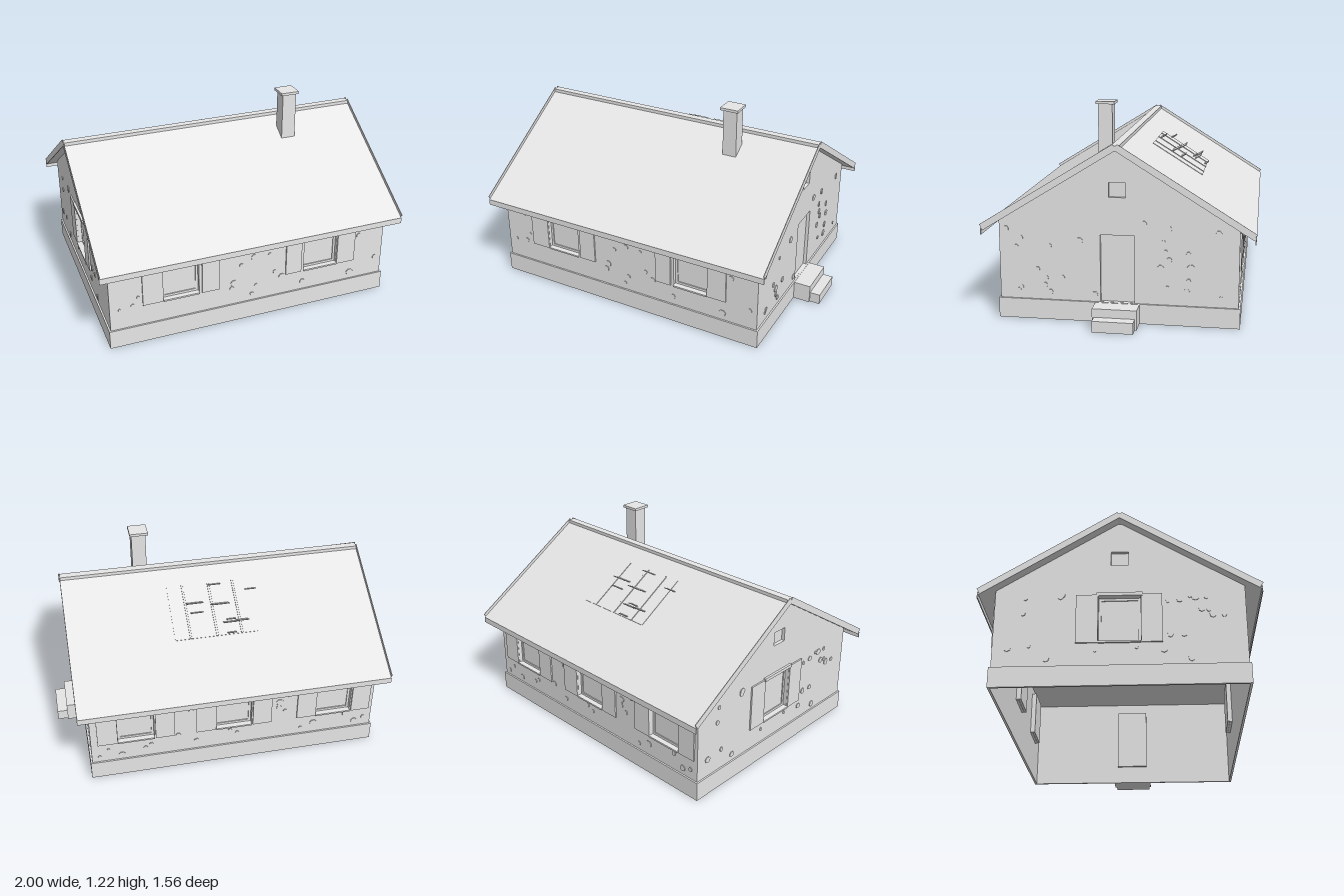
import * as THREE from 'three';

const CX = -0.057, HX = 0.88, HZ = 0.685;      // wall centre and half sizes
const SLOPE = 0.62, ANG = Math.atan(SLOPE), APEX = 1.005;
const ROOF_X = [-1, 0.89];

export function createModel() {
  const model = new THREE.Group();
  model.name = 'cottage';
  const grey = new THREE.MeshStandardMaterial({ color: 0xe6e6e6 });
  grey.name = 'pale grey';

  const add = (parent, name, geo) => {
    const m = new THREE.Mesh(geo, grey);
    m.name = name;
    parent.add(m);
    return m;
  };
  // box given by its minimum and maximum on each axis
  const box = (parent, name, x0, x1, y0, y1, z0, z1) => {
    const m = add(parent, name, new THREE.BoxGeometry(x1 - x0, y1 - y0, z1 - z0));
    m.position.set((x0 + x1) / 2, (y0 + y1) / 2, (z0 + z1) / 2);
    return m;
  };
  const rect = (C, x0, x1, y0, y1) => new C([[x0, y0], [x1, y0], [x1, y1], [x0, y1]]
    .map(p => new THREE.Vector2(...p)));

  let seed = 7;
  const rnd = () => (seed = (seed * 16807) % 2147483647) / 2147483647;

  // wall panel with openings; local x runs along the wall, local z points outward
  function wall(name, pos, rotY, outline, holes) {
    const g = new THREE.Group();
    g.name = name;
    g.position.set(...pos);
    g.rotation.y = rotY;
    const s = new THREE.Shape(outline.map(p => new THREE.Vector2(...p)));
    holes.forEach(h => s.holes.push(rect(THREE.Path, ...h)));
    add(g, name + 'Panel', new THREE.ExtrudeGeometry(s, { depth: 0.004, bevelEnabled: false }))
      .position.z = -0.004;
    model.add(g);
    return g;
  }
  // recessed opening with reveals and a flat back panel
  function recess(g, name, [x0, x1, y0, y1], d) {
    const t = 0.004;
    box(g, name + 'Panel', x0 - t, x1 + t, y0 - t, y1 + t, -d - t, -d);
    for (const [a, b] of [[x0 - t, x0], [x1, x1 + t]]) box(g, name + 'Jamb', a, b, y0, y1, -d, -0.001);
    for (const [a, b] of [[y0 - t, y0], [y1, y1 + t]]) box(g, name + 'Reveal', x0 - t, x1 + t, a, b, -d, -0.001);
  }
  // recessed window with frame, sill, lintel and a pair of shutters
  function windowSet(g, h, left, right) {
    const [x0, x1, y0, y1] = h, f = 0.014, d = 0.03;
    recess(g, 'window', h, d);
    for (const [a, b] of [[x0, x0 + f], [x1 - f, x1]]) box(g, 'windowFrame', a, b, y0, y1, -d, 0.006 - d);
    for (const [a, b] of [[y0, y0 + f], [y1 - f, y1]]) box(g, 'windowFrame', x0 + f, x1 - f, a, b, -d, 0.006 - d);
    box(g, 'windowSill', x0, x1, y0 - 0.007, y0 + 0.003, -0.02, 0.012);
    box(g, 'lintel', x0 - 0.01, x1 + 0.01, y1, y1 + 0.02, 0, 0.014);
    for (const [a, b] of [left, right]) box(g, 'shutter', a, b, 0.25, 0.54, 0, 0.009);
  }
  // thin flat plaster chips scattered clear of the openings
  function chips(g, half, n, avoid, top) {
    for (let i = 0, tries = 0; i < n && tries < 200; tries++) {
      const x = (rnd() * 2 - 1) * (half - 0.04), y = 0.15 + rnd() * (top - 0.15);
      if (avoid.some(([a, b, c, d]) => x > a - 0.02 && x < b + 0.02 && y > c - 0.02 && y < d + 0.02)) continue;
      const r = 0.01 + rnd() * 0.012;
      const m = add(g, 'plasterChip', new THREE.CylinderGeometry(r, r, 0.005, 7));
      m.rotation.x = Math.PI / 2;
      m.scale.x = 0.7 + rnd() * 0.5;
      m.position.set(x, y, 0.002);
      i++;
    }
  }

  // foundation ring around the walls, open underneath, and the ceiling
  const ring = rect(THREE.Shape, CX - HX - 0.01, CX + HX + 0.01, -HZ - 0.01, HZ + 0.01);
  ring.holes.push(rect(THREE.Path, CX - HX, CX + HX, -HZ, HZ));
  add(model, 'foundation', new THREE.ExtrudeGeometry(ring, { depth: 0.117, bevelEnabled: false }))
    .rotation.x = -Math.PI / 2;
  box(model, 'ceiling', CX - HX + 0.004, CX + HX - 0.004, 0.586, 0.592, -HZ + 0.004, HZ - 0.004);

  // long walls
  const eave = APEX - SLOPE * HZ + 0.008;
  const sideOutline = [[-HX, 0], [HX, 0], [HX, eave], [-HX, eave]];
  const frontWins = [
    [-0.615, -0.395, [-0.74, -0.617], [-0.378, -0.27]],
    [0.282, 0.503, [0.16, 0.263], [0.505, 0.625]],
  ].map(([a, b, l, r]) => [a - CX, b - CX, l.map(v => v - CX), r.map(v => v - CX)]);
  const backWins = [-0.68, -0.05, 0.55].map(x => {
    const c = CX - x;
    return [c - 0.11, c + 0.11, [c - 0.233, c - 0.112], [c + 0.118, c + 0.235]];
  });
  for (const [name, z, rot, wins] of [['frontWall', HZ, 0, frontWins], ['backWall', -HZ, Math.PI, backWins]]) {
    const holes = wins.map(w => [w[0], w[1], 0.255, 0.53]);
    const g = wall(name, [CX, 0, z], rot, sideOutline, holes);
    wins.forEach((w, i) => windowSet(g, holes[i], w[2], w[3]));
    chips(g, HX, 22, wins.map(w => [w[2][0], w[3][1], 0.25, 0.56]), 0.54);
  }

  // gable walls: door on the right, window on the left, a vent high on both
  const gable = [[-HZ, 0], [HZ, 0], [HZ, eave], [0, APEX + 0.008], [-HZ, eave]];
  const vent = [-0.048, 0.048, 0.73, 0.815];
  const door = [-0.098, 0.098, 0.118, 0.513];
  const sideWin = [-0.115, 0.115, 0.255, 0.53];
  const right = wall('rightGable', [CX + HX, 0, 0], Math.PI / 2, gable, [vent, door]);
  recess(right, 'vent', vent, 0.02);
  recess(right, 'door', door, 0.02);
  chips(right, HZ, 26, [door, vent], 0.6);
  const left = wall('leftGable', [CX - HX, 0, 0], -Math.PI / 2, gable, [vent, sideWin]);
  recess(left, 'vent', vent, 0.02);
  windowSet(left, sideWin, [-0.238, -0.117], [0.117, 0.232]);
  chips(left, HZ, 22, [[-0.24, 0.24, 0.25, 0.56], vent], 0.6);

  // door steps
  box(model, 'upperStep', 0.83, 0.937, 0, 0.115, -0.127, 0.127);
  box(model, 'lowerStep', 0.937, 1, 0, 0.065, -0.116, 0.116);

  // roof slopes: local x along the ridge, y out of the slope, z down the slope
  const cos = Math.cos(ANG), th = 0.017;
  const slopes = [0, Math.PI].map((rot, i) => {
    const turn = new THREE.Group();
    turn.rotation.y = rot;
    turn.name = i ? 'backRoof' : 'frontRoof';
    const s = new THREE.Group();
    s.position.y = APEX;
    s.rotation.x = ANG;
    turn.add(s);
    model.add(turn);
    const [x0, x1] = i ? [-ROOF_X[1], -ROOF_X[0]] : ROOF_X;
    box(s, 'roofSlab', x0 + 0.004, x1 - 0.004, 0, th, 0, 0.767 / cos);
    for (const x of [x0, x1 - 0.004]) box(s, 'bargeBoard', x, x + 0.004, -0.002, 0.036, -0.008, 0.76 / cos);
    box(turn, 'eaveBoard', x0, x1, 0.506, 0.542, 0.768, 0.774);
    return s;
  });
  box(model, 'ridgeCap', ROOF_X[0] + 0.002, ROOF_X[1] - 0.002, 1.0, 1.031, -0.023, 0.023);

  // damaged patch on the back slope: boards, battens and loose tiles
  const back = slopes[1];
  const z0 = 0.116 / cos, z1 = 0.421 / cos;
  for (const [a, b] of [[-0.25, -0.16], [-0.145, -0.008], [0.008, 0.155], [0.168, 0.257]])
    box(back, 'patchBoard', -b, -a, th, th + 0.003, z0, z1);
  for (const x of [-0.1525, 0, 0.1615]) box(back, 'patchBatten', -x - 0.005, -x + 0.005, th, th + 0.006, z0, z1);
  const tiles = [
    [-0.165, -0.375, 0.075, 0.05], [-0.09, -0.375, 0.08, 0.04], [-0.09, -0.43, 0.055, 0.028],
    [-0.1, -0.355, 0.055, 0.028], [-0.05, -0.275, 0.105, 0.058], [0.1, -0.3, 0.075, 0.03],
    [0.105, -0.255, 0.1, 0.055], [-0.035, -0.155, 0.075, 0.04], [-0.255, -0.2, 0.065, 0.032],
  ];
  for (const [x, z, w, d] of tiles) {
    const t = add(model, 'looseTile', new THREE.BoxGeometry(w, 0.005, d * 1.15));
    t.position.set(x, APEX + th / cos + SLOPE * z + d * 0.5, z);
    t.rotation.x = 0.5;
  }

  // chimney
  box(model, 'chimney', 0.342, 0.43, 0.86, 1.205, 0.095, 0.18);
  box(model, 'chimneyCap', 0.327, 0.441, 1.203, 1.219, 0.081, 0.194);

  return model;
}
